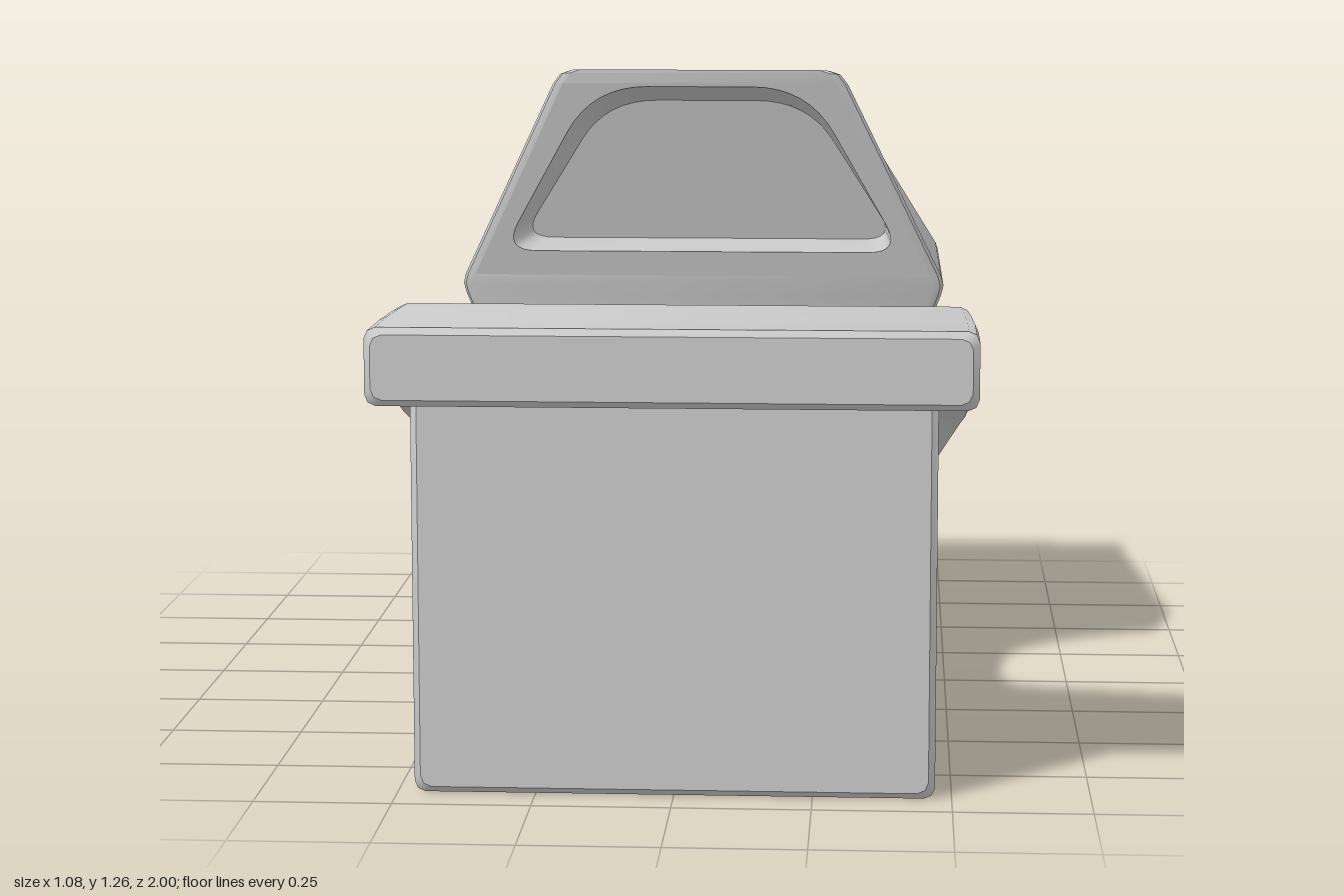
import * as THREE from 'three';
import { toCreasedNormals } from 'three/addons/utils/BufferGeometryUtils.js';

const material = new THREE.MeshStandardMaterial({ color: 0xcccccc });
const thinMaterial = new THREE.MeshStandardMaterial({ color: 0xcccccc, side: THREE.DoubleSide });

// Closed skin over equal-length rings; skip(level, segment) leaves openings
function loft(rings, crease, skip = () => false) {
  const n = rings[0].length, pos = [];
  const tri = (...pts) => pts.forEach(p => pos.push(...p));
  for (let j = 0; j < rings.length - 1; j++) {
    for (let i = 0; i < n; i++) {
      if (skip(j, i)) continue;
      const k = (i + 1) % n, lo = rings[j], hi = rings[j + 1];
      tri(lo[i], lo[k], hi[k]);
      tri(lo[i], hi[k], hi[i]);
    }
  }
  const first = rings[0], last = rings[rings.length - 1];
  for (let i = 1; i < n - 1; i++) {
    tri(first[0], first[i + 1], first[i]);
    tri(last[0], last[i], last[i + 1]);
  }
  const g = new THREE.BufferGeometry();
  g.setAttribute('position', new THREE.Float32BufferAttribute(pos, 3));
  return toCreasedNormals(g, crease);
}

// Rounded rectangle in (x, s), s running from a down to b
function roundRect(w, a, b, r) {
  const half = [[w - r, a], [w - 0.3 * r, a - 0.3 * r], [w, a - r],
    [w, b + r], [w - 0.3 * r, b + 0.3 * r], [w - r, b]];
  return [...half, ...half.map(([x, s]) => [-x, s]).reverse()];
}

// Loft along z through stations [z, halfWidth, top, bottom] with bevelled ends
function loftZ(stations, r, bevel) {
  const list = stations.map(s => [...s]);
  const shrunk = ([z, w, t, b]) => [z, w - bevel, t - bevel, b + bevel];
  const f = shrunk(list[0]), l = shrunk(list[list.length - 1]);
  list[0][0] -= bevel;
  list[list.length - 1][0] += bevel;
  return loft([f, ...list, l].map(([z, w, t, b]) =>
    roundRect(w, t, b, r).map(([x, y]) => [x, y, z])), 0.5);
}

// Rounded polygon; each corner is [x, y, cut length]
function roundedPath(path, corners) {
  const n = corners.length;
  corners.forEach((c, i) => {
    const p = new THREE.Vector2(c[0], c[1]);
    const toward = o => p.clone().add(new THREE.Vector2(o[0], o[1]).sub(p).setLength(c[2]));
    const a = toward(corners[(i + n - 1) % n]), b = toward(corners[(i + 1) % n]);
    if (i) path.lineTo(a.x, a.y); else path.moveTo(a.x, a.y);
    path.quadraticCurveTo(p.x, p.y, b.x, b.y);
  });
  path.closePath();
  return path;
}

// Sloped panel from edge lo to edge hi ([halfWidth, z, y]) with a recessed window
function windowPanel(name, side, lo, hi, win) {
  const group = new THREE.Group();
  group.name = name;
  const dy = hi[2] - lo[2], dz = hi[1] - lo[1], len = Math.hypot(dy, dz);
  const toT = y => (y - lo[2]) / dy * len;
  const place = (u, t) => [side * u, lo[2] + dy * t / len, lo[1] + dz * t / len];
  const sink = (u, t) => {
    const [x, y, z] = place(u, t);
    return [x * win.squeeze, win.y0 + (y - win.y0) * win.lower + win.depth[0], z + win.depth[1]];
  };
  const corners = [[-win.w0, toT(win.y0), win.cut0], [win.w0, toT(win.y0), win.cut0],
    [win.w1, toT(win.y1), win.cut1], [-win.w1, toT(win.y1), win.cut1]];
  const bend = (g, map) => {
    const p = g.attributes.position;
    for (let i = 0; i < p.count; i++) p.setXYZ(i, ...map(p.getX(i), p.getY(i)));
    g.computeVertexNormals();
    return g;
  };
  const add = (part, g, mat) => {
    const m = new THREE.Mesh(g, mat);
    m.name = part;
    group.add(m);
  };
  const frame = new THREE.Shape([[-lo[0], 0], [lo[0], 0], [hi[0], len], [-hi[0], len]]
    .map(p => new THREE.Vector2(...p)));
  frame.holes.push(roundedPath(new THREE.Path(), corners));
  add('windowFrame', bend(new THREE.ShapeGeometry(frame, 8), place), material);

  const opening = roundedPath(new THREE.Shape(), corners);
  add('windowBack', bend(new THREE.ShapeGeometry(opening, 8), sink), thinMaterial);

  // Walls of the recess
  const loop = opening.getPoints(8), pos = [];
  loop.forEach((p, i) => {
    const q = loop[(i + 1) % loop.length];
    const a = place(p.x, p.y), b = place(q.x, q.y), c = sink(q.x, q.y), d = sink(p.x, p.y);
    pos.push(...a, ...c, ...b, ...a, ...d, ...c);
  });
  const walls = new THREE.BufferGeometry();
  walls.setAttribute('position', new THREE.Float32BufferAttribute(pos, 3));
  add('windowReveal', toCreasedNormals(walls, 0.6), thinMaterial);
  return group;
}

export function createModel() {
  const model = new THREE.Group();
  const add = (name, g) => {
    const m = new THREE.Mesh(g, material);
    m.name = name;
    model.add(m);
  };

  // Curved deck: z, half width, top, bottom
  const deck = [
    [1, 0.54, 0.86, 0.72], [0.85, 0.54, 0.86, 0.717], [0.72, 0.535, 0.86, 0.69],
    [0.645, 0.53, 0.86, 0.655], [0.625, 0.528, 0.853, 0.645], [0.6, 0.52, 0.828, 0.63],
    [0.5, 0.468, 0.7, 0.53], [0.4, 0.42, 0.572, 0.43], [0.34, 0.4, 0.495, 0.382],
    [0.3, 0.39, 0.457, 0.355], [0.25, 0.381, 0.438, 0.327], [0.2, 0.375, 0.43, 0.306],
    [0.1, 0.37, 0.43, 0.29], [-0.2, 0.37, 0.43, 0.288], [-0.81, 0.37, 0.43, 0.288]];
  add('deck', loftZ(deck, 0.02, 0.012));

  // Base follows the underside of the deck, set in all round
  const base = deck.map(([z, w, , bottom]) =>
    [THREE.MathUtils.clamp(z, -0.73, 0.925), w - 0.07, bottom + 0.02, 0.003]);
  add('base', loftZ(base, 0.02, 0.012));

  // Cabin levels: half width, front z, front y, back z, back y
  const levels = [
    [0.37, 0.18, 0.427, -0.81, 0.41],
    [0.37, 0.09, 0.442, -0.81, 0.425],
    [0.373, 0.035, 0.47, -0.812, 0.45],
    [0.385, 0, 0.52, -0.825, 0.48],
    [0.41, -0.017, 0.6, -0.866, 0.554],
    [0.435, -0.018, 0.67, -0.9075, 0.6275],
    [0.485, 0, 0.8, -0.99, 0.775],
    [0.49, 0.003, 0.82, -1, 0.79],
    [0.485, 0.008, 0.84, -0.99, 0.805],
    [0.295, 0.094, 1.235, -0.675, 1.135],
    [0.28, 0.099, 1.255, -0.665, 1.148],
    [0.26, 0.099, 1.262, -0.652, 1.153]];
  const r = 0.022;
  const rings = levels.map(([w, zf, yf, zb, yb]) => roundRect(w, zf, zb, r)
    .map(([x, z]) => [x, yb + (yf - yb) * (z - zb) / (zf - zb), z]));
  const open = (j, i) => (i === 11 && j === 8) || (i === 5 && (j === 8 || (j >= 3 && j <= 5)));
  add('cabin', loft(rings, 0.5, open));

  // Windows
  const front = j => [levels[j][0] - r, levels[j][1], levels[j][2]];
  const back = j => [levels[j][0] - r, levels[j][3], levels[j][4]];
  model.add(windowPanel('frontWindow', 1, front(8), front(9), {
    y0: 0.89, y1: 1.228, w0: 0.405, w1: 0.215, cut0: 0.07, cut1: 0.11,
    depth: [0, -0.26], squeeze: 0.97, lower: 0.87 }));
  model.add(windowPanel('rearUpperWindow', -1, back(8), back(9), {
    y0: 0.825, y1: 1.125, w0: 0.42, w1: 0.25, cut0: 0.06, cut1: 0.09,
    depth: [-0.02, 0.13], squeeze: 0.95, lower: 1 }));
  model.add(windowPanel('rearLowerWindow', -1, back(3), back(6), {
    y0: 0.53, y1: 0.76, w0: 0.35, w1: 0.435, cut0: 0.06, cut1: 0.05,
    depth: [0, 0.16], squeeze: 0.93, lower: 0.95 }));
  return model;
}
